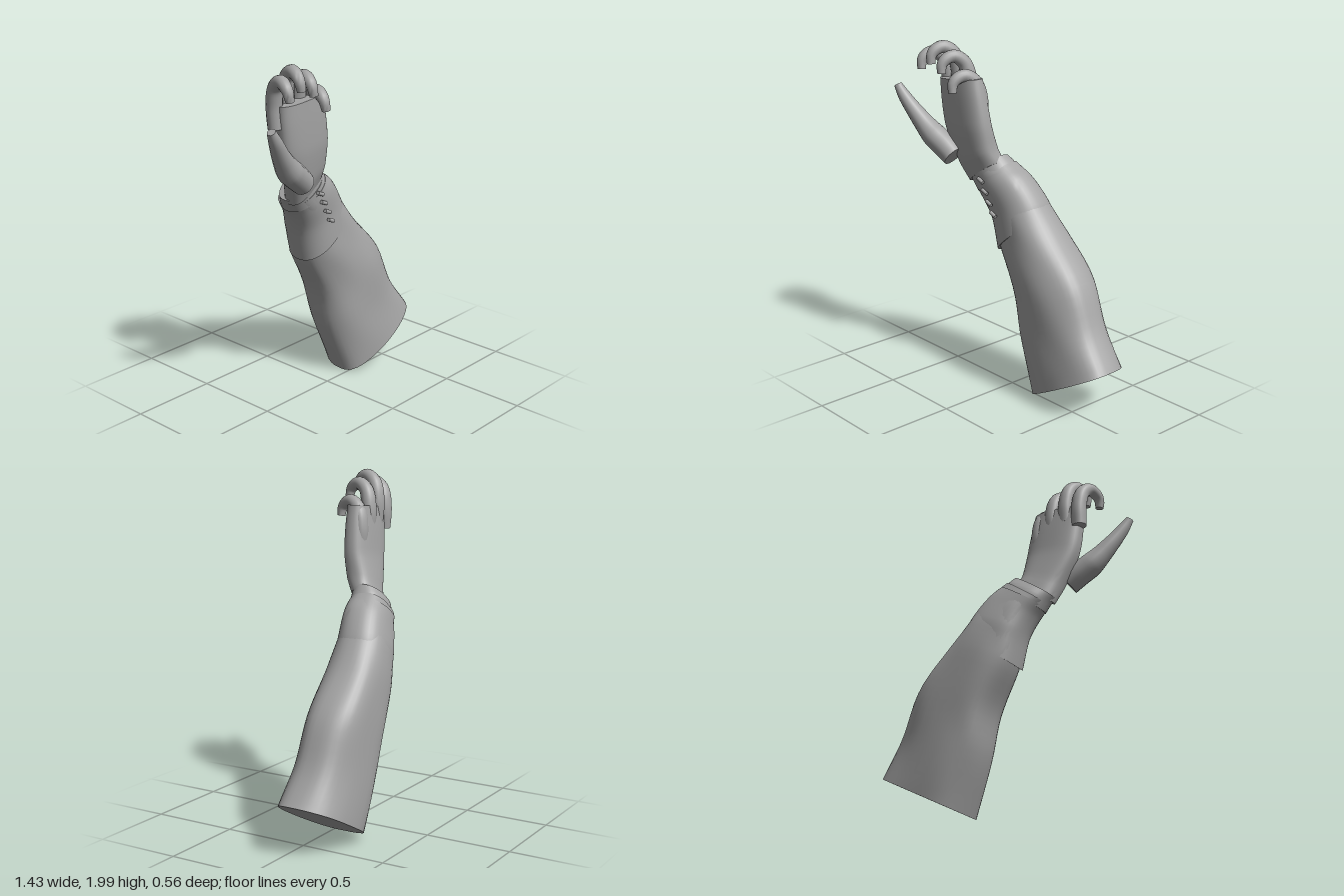
import * as THREE from 'three';
import { mergeVertices, toCreasedNormals } from 'three/addons/utils/BufferGeometryUtils.js';

const grey = new THREE.MeshStandardMaterial({ color: 0xa4a4a4 });
grey.name = 'plain grey';

function part(name, geometry) {
  const mesh = new THREE.Mesh(geometry, grey);
  mesh.name = name;
  return mesh;
}

// Closed loft. Each section: [leftX, leftY, rightX, rightY, zMid, zFront, zBack]
function loft(sections, { steps = 5, sides = 40, boxBack = 0.8, boxFront = 0.9, fold = 0, grow = 0 } = {}) {
  const curveOf = (f) => new THREE.CatmullRomCurve3(sections.map(f));
  const left = curveOf((s) => new THREE.Vector3(s[0], s[1], 0));
  const right = curveOf((s) => new THREE.Vector3(s[2], s[3], 0));
  const depth = curveOf((s) => new THREE.Vector3(s[4], s[5], s[6]));
  const rows = (sections.length - 1) * steps;
  const pos = [], index = [];
  const mids = [];
  for (let i = 0; i <= rows; i++) {
    const t = i / rows;
    const l = left.getPoint(t), r = right.getPoint(t), d = depth.getPoint(t);
    const mid = l.clone().add(r).multiplyScalar(0.5);
    const half = r.clone().sub(mid);
    half.setLength(half.length() + grow);
    mids.push([mid.x, mid.y, d.x]);
    for (let j = 0; j < sides; j++) {
      const a = (j / sides) * Math.PI * 2;
      const c = Math.cos(a), s = Math.sin(a);
      const p = s > 0 ? boxFront : boxBack;
      // shallow diagonal cloth folds
      const w = 1 + fold * (Math.sin(3 * a + 9 * t) + 0.6 * Math.sin(5 * a - 17 * t)) * Math.abs(s);
      const u = Math.sign(c) * Math.abs(c) ** p * w;
      const v = Math.abs(s) ** p * w;
      const z = s > 0 ? (d.y - d.x + grow) * v : (d.z - d.x - grow) * v;
      pos.push(mid.x + half.x * u, mid.y + half.y * u, d.x + z);
    }
  }
  for (let i = 0; i < rows; i++) {
    for (let j = 0; j < sides; j++) {
      const k = (j + 1) % sides;
      const a = i * sides + j, b = a + sides, c = i * sides + k, e = c + sides;
      index.push(a, b, c, c, b, e);
    }
  }
  const low = pos.length / 3, high = low + 1, top = rows * sides;
  pos.push(...mids[0], ...mids[rows]);
  for (let j = 0; j < sides; j++) {
    const k = (j + 1) % sides;
    index.push(low, j, k, high, top + k, top + j);
  }
  const g = new THREE.BufferGeometry();
  g.setAttribute('position', new THREE.Float32BufferAttribute(pos, 3));
  g.setIndex(index);
  return toCreasedNormals(g, 0.9);
}

// Tube along points with a radius for each point and flat ends
function digit(points, radii) {
  const curve = new THREE.CatmullRomCurve3(points.map((p) => new THREE.Vector3(...p)));
  const n = 28, sides = 16;
  const g = new THREE.TubeGeometry(curve, n, 1, sides);
  const pos = g.attributes.position, v = new THREE.Vector3();
  for (let i = 0; i <= n; i++) {
    const f = (i / n) * (radii.length - 1);
    const k = Math.min(Math.floor(f), radii.length - 2);
    const r = THREE.MathUtils.lerp(radii[k], radii[k + 1], f - k);
    const centre = curve.getPointAt(i / n);
    const capped = i === 0 || i === n;
    const place = capped ? curve.getPointAt(i === 0 ? 1 / n : 1 - 1 / n) : centre;
    for (let j = 0; j <= sides; j++) {
      const q = i * (sides + 1) + j;
      v.fromBufferAttribute(pos, q).sub(centre).multiplyScalar(capped ? 0 : r).add(place);
      pos.setXYZ(q, v.x, v.y, v.z);
    }
  }
  g.deleteAttribute('uv');
  g.deleteAttribute('normal');
  return toCreasedNormals(mergeVertices(g, 1e-5), 0.9);
}

export function createModel() {
  const model = new THREE.Group();
  model.name = 'forearm';

  // Wide sleeve, narrowing towards the wrist
  const sleeve = [
    [0.18, 0.01, 0.72, 0.30, -0.05, 0.10, -0.275],
    [0.06, 0.32, 0.59, 0.48, -0.07, 0.085, -0.275],
    [0.00, 0.56, 0.47, 0.74, -0.08, 0.08, -0.28],
    [-0.12, 0.80, 0.26, 0.97, -0.09, 0.065, -0.26],
    [-0.18, 0.98, 0.13, 1.13, -0.08, 0.06, -0.225],
    [-0.23, 1.09, 0.03, 1.26, -0.05, 0.075, -0.185],
    [-0.29, 1.17, -0.07, 1.335, -0.03, 0.085, -0.145],
  ];
  model.add(part('sleeve', loft(sleeve, { boxBack: 0.72, fold: 0.025 })));

  // Overlapping cuff layers
  model.add(part('cuff', loft([
    [-0.135, 0.80, 0.17, 1.045, -0.085, 0.06, -0.235],
    ...sleeve.slice(4, 6),
    [-0.275, 1.15, -0.04, 1.31, -0.04, 0.08, -0.16],
  ], { grow: 0.004 })));
  model.add(part('innerCuff', loft([
    [-0.27, 1.13, -0.03, 1.29, -0.04, 0.08, -0.15],
    [-0.30, 1.18, -0.075, 1.345, -0.025, 0.085, -0.13],
    [-0.325, 1.215, -0.10, 1.375, -0.01, 0.09, -0.105],
  ])));

  // Row of cuff buttons
  const peg = new THREE.CylinderGeometry(0.011, 0.011, 0.045, 12);
  const buttons = new THREE.Group();
  buttons.name = 'cuffButtons';
  for (let i = 0; i < 4; i++) {
    const button = part('button', peg);
    button.position.set(-0.16 + i * 0.032, 1.235 - i * 0.06, 0.097 - i * 0.003);
    button.rotation.z = Math.PI / 2 - 0.4;
    buttons.add(button);
  }
  model.add(buttons);

  // Palm
  model.add(part('palm', loft([
    [-0.31, 1.19, -0.09, 1.34, 0.01, 0.085, -0.07],
    [-0.355, 1.30, -0.105, 1.41, 0.05, 0.125, -0.04],
    [-0.44, 1.50, -0.115, 1.55, 0.08, 0.155, 0.00],
    [-0.465, 1.65, -0.14, 1.70, 0.09, 0.16, 0.015],
    [-0.475, 1.78, -0.165, 1.81, 0.09, 0.16, 0.03],
  ], { boxBack: 0.8, boxFront: 0.75 })));

  // Curled fingers: [name, base x, height of the top]
  const fingers = [
    ['indexFinger', -0.468, 1.96],
    ['middleFinger', -0.383, 2.0],
    ['ringFinger', -0.292, 1.96],
    ['littleFinger', -0.2, 1.865],
  ];
  for (const [name, x, top] of fingers) {
    model.add(part(name, digit([
      [x + 0.005, top - 0.32, 0.065],
      [x, top - 0.17, 0.06],
      [x - 0.015, top - 0.075, 0.085],
      [x - 0.035, top - 0.037, 0.145],
      [x - 0.052, top - 0.07, 0.205],
      [x - 0.045, top - 0.145, 0.22],
    ], [0.042, 0.045, 0.044, 0.038, 0.033, 0.021])));
  }

  // Outstretched thumb
  model.add(part('thumb', digit([
    [-0.325, 1.335, 0.135],
    [-0.40, 1.395, 0.15],
    [-0.485, 1.46, 0.175],
    [-0.575, 1.56, 0.21],
    [-0.645, 1.655, 0.242],
    [-0.685, 1.715, 0.255],
    [-0.70, 1.738, 0.257],
  ], [0.065, 0.07, 0.071, 0.057, 0.046, 0.036, 0.02])));

  return model;
}
